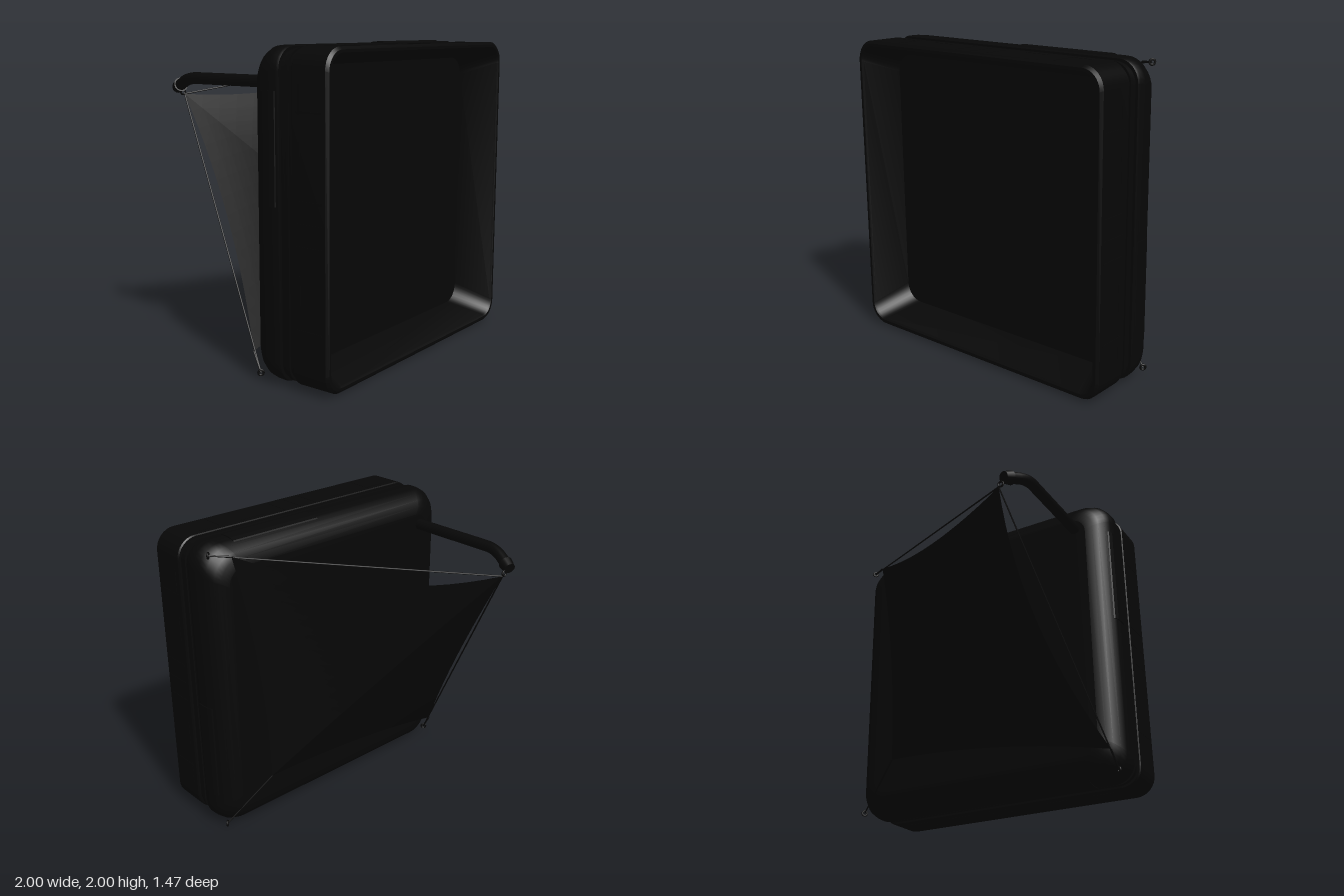
import * as THREE from 'three';
import { mergeVertices, toCreasedNormals } from 'three/addons/utils/BufferGeometryUtils.js';

const V = (x, y, z) => new THREE.Vector3(x, y, z);

// Rounded square outline, counter-clockwise seen from +z
function outline(half, radius, z, steps = 8) {
  const pts = [];
  const c = half - radius;
  [[1, 1], [-1, 1], [-1, -1], [1, -1]].forEach(([sx, sy], q) => {
    for (let i = 0; i <= steps; i++) {
      const a = (q + i / steps) * Math.PI / 2;
      pts.push(V(sx * c + radius * Math.cos(a), sy * c + radius * Math.sin(a), z));
    }
  });
  return pts;
}

// Skin over a series of [half size, corner radius, z] outlines
function loft(profile, crease) {
  const rings = profile.map(([h, r, z]) => outline(h, r, z));
  const n = rings[0].length;
  const pos = rings.flat().flatMap(p => [p.x, p.y, p.z]);
  const index = [];
  for (let k = 0; k < rings.length - 1; k++) {
    for (let i = 0; i < n; i++) {
      const j = (i + 1) % n;
      const a = k * n + i, b = k * n + j, c = a + n, d = b + n;
      index.push(a, c, b, b, c, d);
    }
  }
  const g = new THREE.BufferGeometry();
  g.setAttribute('position', new THREE.Float32BufferAttribute(pos, 3));
  g.setIndex(index);
  return toCreasedNormals(g, crease);
}

// Flat rounded square facing +z
const plate = (half, radius) => new THREE.ShapeGeometry(
  new THREE.Shape(outline(half, radius, 0).map(p => new THREE.Vector2(p.x, p.y))));

// Curved triangular cloth panel from three corners and three edge midpoints
function clothPanel(a, b, c, mab, mbc, mca, n = 14) {
  const control = (p, m, q) => m.clone().multiplyScalar(2).addScaledVector(p, -0.5).addScaledVector(q, -0.5);
  const ab = control(a, mab, b), bc = control(b, mbc, c), ca = control(c, mca, a);
  const at = (i, j) => {
    const v = i / n, w = j / n, u = 1 - v - w;
    return V(0, 0, 0)
      .addScaledVector(a, u * u).addScaledVector(b, v * v).addScaledVector(c, w * w)
      .addScaledVector(ab, 2 * u * v).addScaledVector(bc, 2 * v * w).addScaledVector(ca, 2 * w * u);
  };
  const pos = [];
  const tri = (...ps) => ps.forEach(p => pos.push(p.x, p.y, p.z));
  for (let i = 0; i < n; i++) {
    for (let j = 0; j < n - i; j++) {
      tri(at(i, j), at(i + 1, j), at(i, j + 1));
      if (i + j < n - 1) tri(at(i + 1, j), at(i + 1, j + 1), at(i, j + 1));
    }
  }
  let g = new THREE.BufferGeometry();
  g.setAttribute('position', new THREE.Float32BufferAttribute(pos, 3));
  g = mergeVertices(g, 1e-5);
  g.computeVertexNormals();
  return g;
}

export function createModel() {
  const model = new THREE.Group();
  const black = new THREE.MeshStandardMaterial({ name: 'black', color: 0x070707 });
  const cloth = new THREE.MeshStandardMaterial({ name: 'black cloth', color: 0x070707, side: THREE.DoubleSide });

  const add = (name, geometry, material = black, parent = model) => {
    const m = new THREE.Mesh(geometry, material);
    m.name = name;
    parent.add(m);
    return m;
  };

  // Case walls: open front tray, recessed ribbed band and rounded back shell
  const profile = [
    [0.88, 0.12, 0.47], [0.945, 0.1, 0.72],
    [0.955, 0.11, 0.731], [0.972, 0.12, 0.731], [0.988, 0.13, 0.715],
    [0.988, 0.13, 0.485], [0.982, 0.13, 0.477],
    [0.968, 0.12, 0.477], [0.968, 0.12, 0.445], [0.978, 0.12, 0.445], [0.978, 0.12, 0.42],
    [0.968, 0.12, 0.42], [0.968, 0.12, 0.385],
    [0.985, 0.13, 0.385], [0.992, 0.14, 0.37], [0.993, 0.15, 0.32], [0.988, 0.16, 0.265],
    [0.968, 0.16, 0.22], [0.935, 0.15, 0.182], [0.9, 0.13, 0.16], [0.85, 0.11, 0.15],
  ];
  add('case', loft(profile, 0.6)).position.y = 1;
  add('trayFloor', plate(0.88, 0.12)).position.set(0, 1, 0.47);
  const back = add('backPanel', plate(0.85, 0.11));
  back.position.set(0, 1, 0.15);
  back.rotation.y = Math.PI;

  // Grip strip: a low pad that follows the curve of the back shell
  const pad = new THREE.Shape([
    [-0.37, 0.98], [-0.235, 0.965], [-0.245, 0.986], [-0.275, 0.996], [-0.32, 1], [-0.36, 0.998],
  ].map(([z, y]) => new THREE.Vector2(z, y)));
  const padGeometry = new THREE.ExtrudeGeometry(pad, { depth: 0.66, bevelEnabled: false });
  padGeometry.rotateY(Math.PI / 2).rotateY(Math.PI).rotateY(Math.PI);
  padGeometry.translate(0.08, 0, 0);

  // Side details, repeated on all four sides
  for (let s = 0; s < 4; s++) {
    const side = new THREE.Group();
    side.name = 'sideDetails';
    side.position.y = 1;
    side.rotation.z = -s * Math.PI / 2;
    model.add(side);
    add('gripStrip', padGeometry, black, side);
    for (const x of [-0.62, -0.13, 0, 0.13, 0.63]) {
      add('sideRib', new THREE.BoxGeometry(0.012, 0.006, 0.18), black, side).position.set(x, 0.987, 0.6);
    }
    for (const x of [-0.7, -0.38, 0.38, 0.7]) {
      add('sideLedge', new THREE.BoxGeometry(0.17, 0.006, 0.012), black, side).position.set(x, 0.987, 0.53);
    }
  }

  // Support arm with bent end and tip
  const arm = new THREE.CurvePath();
  const p0 = V(-0.775, 1.775, 0.16), p1 = V(-0.775, 1.775, -0.46);
  const p2 = V(-0.75, 1.75, -0.6), p3 = V(-0.715, 1.715, -0.69);
  arm.add(new THREE.LineCurve3(p0, p1));
  arm.add(new THREE.QuadraticBezierCurve3(p1, V(-0.775, 1.775, -0.53), p2));
  arm.add(new THREE.LineCurve3(p2, p3));
  add('supportArm', new THREE.TubeGeometry(arm, 48, 0.037, 16));
  const tip = add('armTip', new THREE.CylinderGeometry(0.038, 0.046, 0.06, 16));
  tip.position.copy(p3);
  tip.quaternion.setFromUnitVectors(V(0, 1, 0), p3.clone().sub(p2).normalize());
  add('tipEye', new THREE.TorusGeometry(0.018, 0.006, 8, 16)).position.set(-0.675, 1.675, -0.7);

  // Stretched cloth: two panels meeting along a diagonal fold
  const apex = V(-0.66, 1.66, -0.7), low = V(0.65, 0.35, 0.08);
  const top = V(0.84, 1.94, 0.13), bottom = V(-0.94, 0.16, 0.13);
  const fold = V(0, 1, -0.29);
  add('upperCloth', clothPanel(apex, low, top, fold, V(0.7, 1.15, 0.095), V(0.1, 1.69, -0.31)), cloth);
  add('lowerCloth', clothPanel(apex, bottom, low, V(-0.69, 0.9, -0.31), V(-0.15, 0.3, 0.095), fold), cloth);

  // Corner eyelets and cords
  const cord = (a, b) => add('cord', new THREE.TubeGeometry(new THREE.LineCurve3(a, b), 1, 0.005, 6));
  for (const [x, y, ends] of [
    [0.955, 1.955, [top, apex]],
    [0.955, 0.045, [low]],
    [-0.955, 0.045, [bottom, apex]],
  ]) {
    const hook = V(x, y, 0.2);
    const ring = add('cornerEyelet', new THREE.TorusGeometry(0.016, 0.007, 8, 18));
    ring.position.copy(hook);
    ring.rotation.set(0, Math.sign(x) * 0.78, 0);
    ends.forEach(e => cord(hook, e));
  }
  return model;
}
